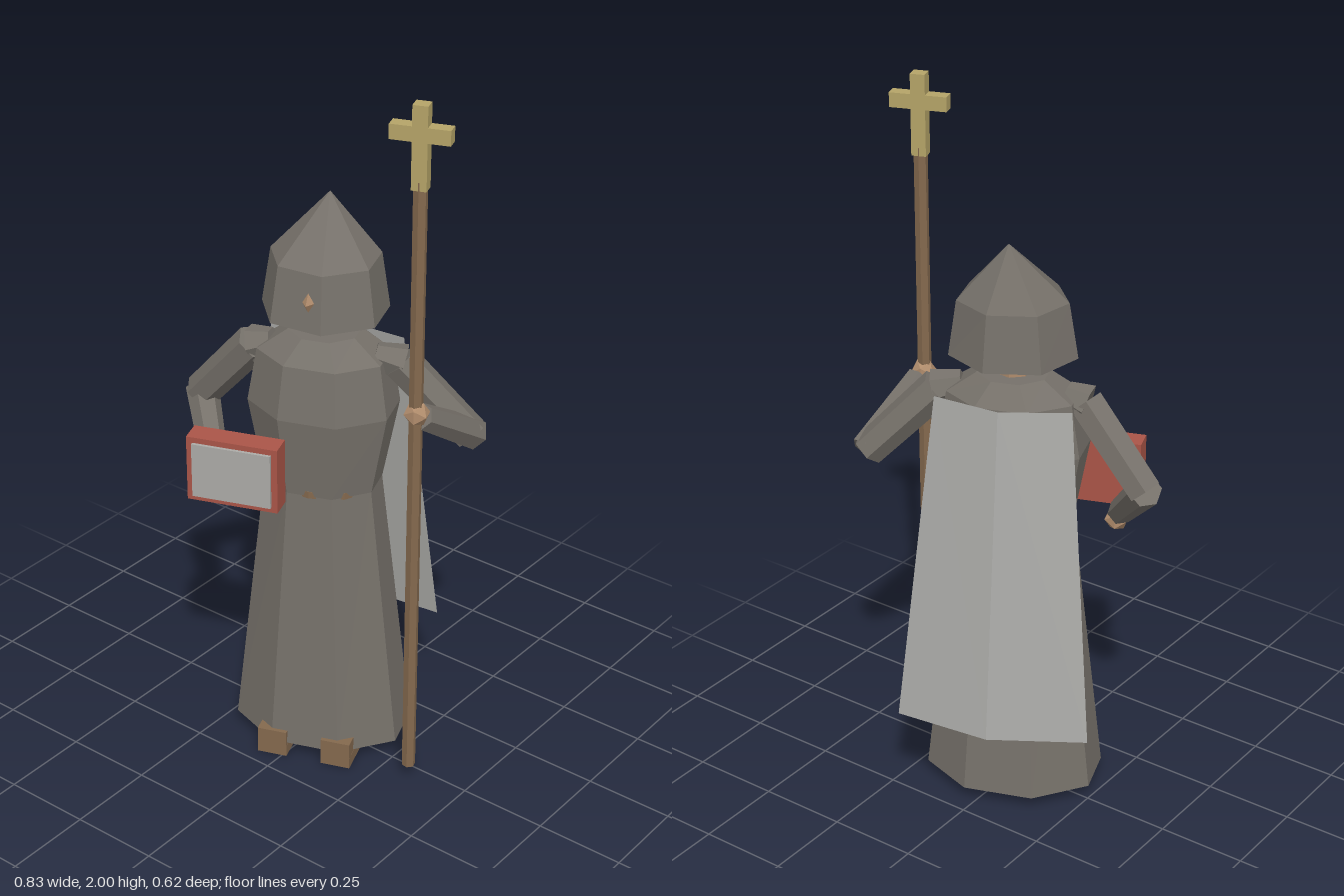
import * as THREE from 'three';

const mat = (name, color, side = THREE.FrontSide) => {
  const m = new THREE.MeshStandardMaterial({ color, side });
  m.name = name;
  return m;
};

// Facet a geometry so every face has its own flat normal
function flat(geo) {
  const g = geo.index ? geo.toNonIndexed() : geo;
  g.computeVertexNormals();
  return g;
}

// Closed faceted body through elliptical rings [y, rx, rz, cz]
function loft(rings, sides, phase) {
  const pos = [];
  const at = ([y, rx, rz, cz], i) => {
    const a = phase + (i / sides) * Math.PI * 2;
    return [rx * Math.sin(a), y, cz + rz * Math.cos(a)];
  };
  const first = rings[0], last = rings[rings.length - 1];
  for (let i = 0; i < sides; i++) {
    for (let k = 0; k + 1 < rings.length; k++) {
      const p0 = at(rings[k], i), p1 = at(rings[k], i + 1);
      const q0 = at(rings[k + 1], i), q1 = at(rings[k + 1], i + 1);
      pos.push(...p0, ...p1, ...q1);
      if (rings[k + 1][1] > 0) pos.push(...p0, ...q1, ...q0);
    }
    pos.push(0, first[0], first[3], ...at(first, i + 1), ...at(first, i));
    if (last[1] > 0) pos.push(0, last[0], last[3], ...at(last, i), ...at(last, i + 1));
  }
  const g = new THREE.BufferGeometry();
  g.setAttribute('position', new THREE.Float32BufferAttribute(pos, 3));
  return flat(g);
}

export function createModel() {
  const cloth = mat('dark grey cloth', 0x76716a);
  const capeCloth = mat('light grey cloth', 0xa9a9a6, THREE.DoubleSide);
  const paper = mat('pale panel', 0xacaba7);
  const red = mat('red cover', 0xaa5548);
  const wood = mat('brown wood', 0x84694e);
  const gold = mat('dull gold', 0xb5a468);
  const skin = mat('skin', 0xb08c6c);

  const model = new THREE.Group();
  const figure = new THREE.Group();
  figure.name = 'figure';
  figure.rotation.y = Math.PI / 9; // the figure stands turned to its left
  model.add(figure);

  const add = (name, geo, material, x = 0, y = 0, z = 0) => {
    const m = new THREE.Mesh(geo, material);
    m.name = name;
    m.position.set(x, y, z);
    figure.add(m);
    return m;
  };
  const box = (name, material, w, h, d, x, y, z) =>
    add(name, new THREE.BoxGeometry(w, h, d), material, x, y, z);
  // Six-sided tapered limb from a to b
  const limb = (name, a, b, r0, r1) => {
    const p = new THREE.Vector3(...a), q = new THREE.Vector3(...b);
    const d = q.clone().sub(p);
    const m = add(name, flat(new THREE.CylinderGeometry(r1, r0, d.length(), 6)), cloth);
    m.position.copy(p).add(q).multiplyScalar(0.5);
    m.quaternion.setFromUnitVectors(new THREE.Vector3(0, 1, 0), d.normalize());
  };

  // Robe
  const half = Math.PI / 8;
  add('skirt', loft([[0.04, 0.255, 0.19, -0.01], [0.84, 0.163, 0.13, -0.005]], 8, half), cloth);
  add('torso', loft([
    [0.83, 0.165, 0.132, -0.005], [1.06, 0.21, 0.162, -0.01],
    [1.21, 0.185, 0.142, -0.015], [1.268, 0.1, 0.088, -0.02],
  ], 8, half), cloth);
  add('belt', loft([[0.825, 0.158, 0.126, -0.005], [0.845, 0.158, 0.126, -0.005]], 10, 0), wood);

  // Head under a pointed hood
  add('neck', loft([[1.24, 0.046, 0.04, -0.025], [1.34, 0.046, 0.04, -0.025]], 6, 0), skin);
  add('chin', loft([[1.305, 0.05, 0.05, -0.022], [1.33, 0.075, 0.075, -0.022]], 7, 0), skin);
  add('hood', loft([
    [1.325, 0.175, 0.16, -0.02], [1.48, 0.151, 0.137, -0.024], [1.643, 0, 0, -0.063],
  ], 7, -Math.PI / 2), cloth);
  add('nose', flat(new THREE.OctahedronGeometry(1)), skin, 0, 1.405, 0.118).scale.set(0.016, 0.028, 0.022);

  // Right arm bent towards the book, left arm gripping the staff
  limb('rightShoulder', [-0.14, 1.215, -0.01], [-0.2, 1.195, -0.013], 0.035, 0.052);
  limb('rightUpperArm', [-0.195, 1.2, -0.013], [-0.373, 0.99, -0.074], 0.052, 0.05);
  limb('rightForearm', [-0.376, 1.0, -0.085], [-0.267, 0.825, 0.098], 0.046, 0.036);
  limb('leftShoulder', [0.14, 1.215, -0.015], [0.215, 1.195, -0.03], 0.035, 0.052);
  limb('leftUpperArm', [0.205, 1.2, -0.028], [0.398, 1.0, -0.054], 0.052, 0.048);
  limb('leftForearm', [0.4, 1.0, -0.062], [0.311, 1.138, 0.136], 0.046, 0.036);
  const hand = flat(new THREE.IcosahedronGeometry(0.036, 0));
  add('rightHand', hand, skin, -0.256, 0.798, 0.112);
  add('leftHand', hand, skin, 0.303, 1.153, 0.15);

  // Sandals
  for (const s of [-1, 1]) {
    box('sole', wood, 0.085, 0.034, 0.18, s * 0.093, 0.017, 0.085);
    box('toeStrap', wood, 0.084, 0.046, 0.06, s * 0.093, 0.056, 0.145);
  }

  // Book with a pale panel on the cover
  box('book', red, 0.254, 0.19, 0.064, -0.183, 0.915, 0.18);
  box('bookPanel', paper, 0.22, 0.158, 0.009, -0.183, 0.915, 0.2165);

  // Staff topped by a cross
  add('staff', flat(new THREE.CylinderGeometry(0.019, 0.019, 1.76, 6)), wood, 0.301, 0.92, 0.152);
  box('crossUpright', gold, 0.04, 0.222, 0.036, 0.301, 1.889, 0.152);
  for (const s of [-1, 1])
    box('crossArm', gold, 0.058, 0.04, 0.036, 0.301 + s * 0.049, 1.925, 0.152);

  // Cape: flares from the shoulders, folded down the middle
  const cape = new THREE.PlaneGeometry(2, 1, 2, 1);
  const p = cape.attributes.position;
  for (let i = 0; i < p.count; i++) {
    const u = p.getX(i), top = p.getY(i) > 0;
    const mid = u === 0;
    p.setXYZ(i, u * (top ? 0.187 : 0.268), top ? 1.218 : 0.29,
      top ? (mid ? -0.172 : -0.124) : (mid ? -0.297 : -0.237));
  }
  add('cape', flat(cape), capeCloth);

  return model;
}
